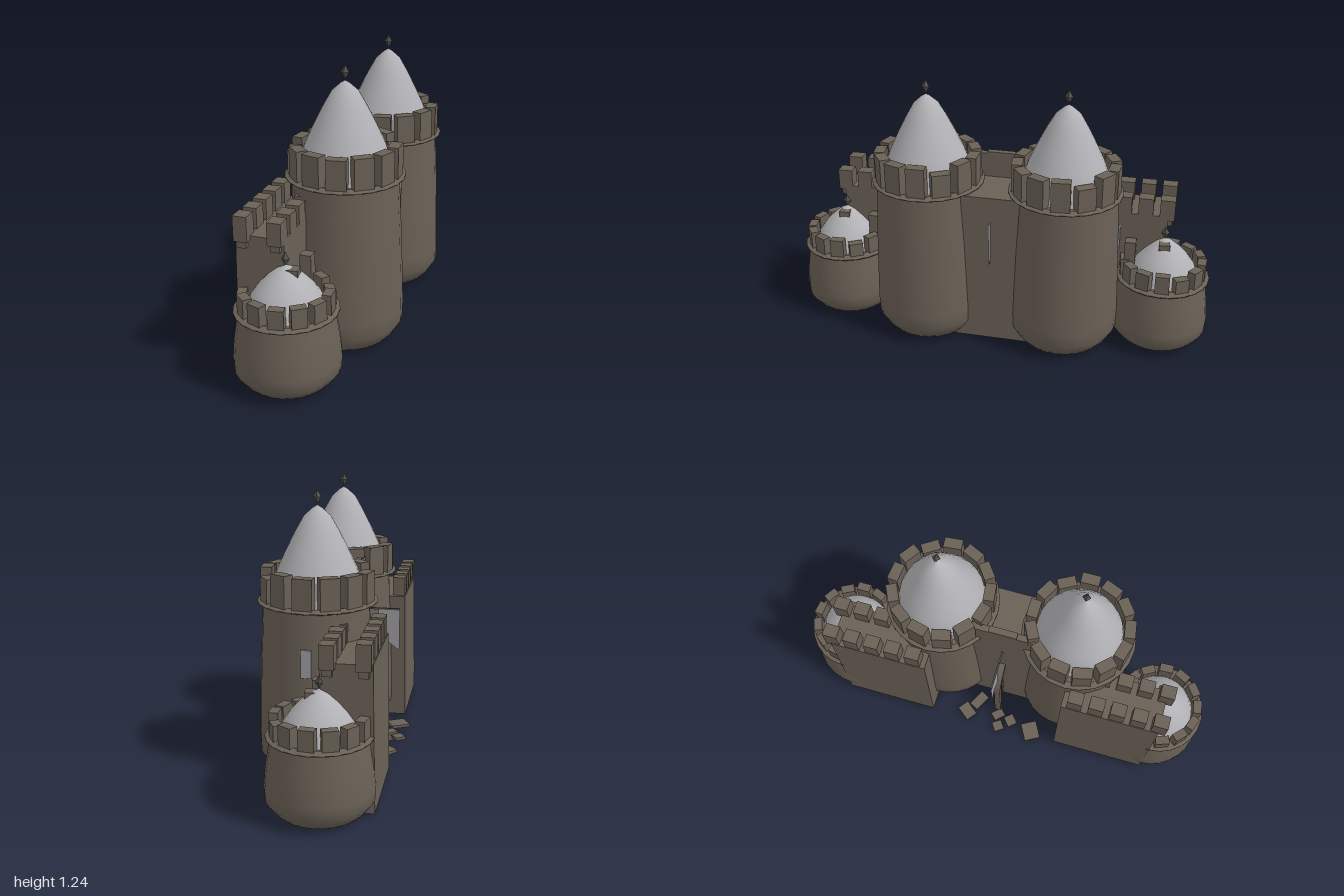
import * as THREE from 'three';

const stone = new THREE.MeshStandardMaterial({ color: 0x6a6156 });
stone.name = 'stone';
const roofGrey = new THREE.MeshStandardMaterial({ color: 0xb2b2b6 });
roofGrey.name = 'roofGrey';
const darkMetal = new THREE.MeshStandardMaterial({ color: 0x55524d });
darkMetal.name = 'darkMetal';
const cloth = new THREE.MeshStandardMaterial({ color: 0x9a9ba0, side: THREE.DoubleSide });
cloth.name = 'cloth';

function add(parent, name, geometry, material, x = 0, y = 0, z = 0) {
  const mesh = new THREE.Mesh(geometry, material);
  mesh.name = name;
  mesh.position.set(x, y, z);
  parent.add(mesh);
  return mesh;
}

const box = (w, h, d) => new THREE.BoxGeometry(w, h, d);

function lathe(points, sides) {
  return new THREE.LatheGeometry(points.map(([r, y]) => new THREE.Vector2(r, y)), sides);
}

// Small repeatable variation for the weathered merlons
function seeded(seed) {
  return () => {
    seed = (seed * 16807) % 2147483647;
    return seed / 2147483647;
  };
}

// Round tower: swollen body, rim, merlon crown, roof and finial
function tower(name, o, seed) {
  const g = new THREE.Group();
  g.name = name;
  const rand = seeded(seed);
  const body = add(g, 'towerBody', lathe(o.body, 28), stone, o.shiftX, 0, o.shiftZ);
  body.name = 'towerBody';
  add(g, 'towerFloor', new THREE.CylinderGeometry(o.rim - 0.02, o.rim - 0.02, 0.012, 24), stone, 0, o.rimY, 0);
  add(g, 'towerRim', lathe([[o.rim - 0.03, o.rimY - 0.012], [o.rim, o.rimY - 0.002],
    [o.rim, o.rimY + 0.004], [o.rim - 0.03, o.rimY + 0.012]], 24), stone);
  for (let i = 0; i < o.count; i++) {
    const a = ((i + 0.35) / o.count) * Math.PI * 2;
    const h = o.merlon[1] * (i % 6 === 4 ? 0.78 : 0.94 + rand() * 0.06);
    const m = add(g, 'merlon', box(o.merlon[0], h, o.merlon[2]), stone,
      Math.sin(a) * o.crown, o.rimY - 0.005 + h / 2, Math.cos(a) * o.crown);
    m.rotation.y = a + (rand() - 0.5) * 0.12;
  }
  add(g, 'towerRoof', lathe(o.roof, 28), roofGrey);
  const finial = add(g, 'finial', new THREE.OctahedronGeometry(1), darkMetal, 0, o.finialY, 0);
  finial.scale.set(0.019, 0.031, 0.019);
  return g;
}

const largeTower = {
  body: [[0, 0.015], [0.2, 0.015], [0.225, 0.045], [0.252, 0.09], [0.254, 0.16], [0.25, 0.3],
    [0.243, 0.5], [0.235, 0.65], [0.23, 0.76]],
  shiftX: 0.005, shiftZ: 0.006, rim: 0.26, rimY: 0.763, count: 13, crown: 0.217,
  merlon: [0.085, 0.152, 0.05],
  roof: [[0.205, 0.77], [0.19, 0.85], [0.17, 0.905], [0.135, 0.98], [0.095, 1.06],
    [0.057, 1.127], [0.02, 1.16], [0, 1.172]],
  finialY: 1.206,
};

const smallTower = {
  body: [[0, 0.015], [0.175, 0.015], [0.195, 0.035], [0.222, 0.07], [0.225, 0.12], [0.218, 0.2],
    [0.207, 0.27], [0.198, 0.33]],
  shiftX: 0, shiftZ: 0, rim: 0.217, rimY: 0.332, count: 13, crown: 0.178,
  merlon: [0.065, 0.1, 0.04],
  roof: [[0.165, 0.338], [0.145, 0.39], [0.113, 0.435], [0.075, 0.475], [0.035, 0.508], [0, 0.525]],
  finialY: 0.55,
};

// Curtain wall with two rows of merlons on small corbels
function curtainWall(side) {
  const g = new THREE.Group();
  g.name = side > 0 ? 'frontCurtainWall' : 'backCurtainWall';
  const wall = box(0.22, 0.62, 0.455);
  const p = wall.attributes.position;
  for (let i = 0; i < p.count; i++) {
    if (p.getY(i) > 0 && p.getX(i) < 0) p.setX(i, p.getX(i) + 0.012);
  }
  wall.computeVertexNormals();
  add(g, 'wall', wall, stone, -0.165, 0.32, side * 0.5525);
  for (let i = 0; i < 5; i++) {
    const z = side * (0.775 - i * 0.098);
    for (const x of [-0.23, -0.085]) {
      const h = x < -0.2 ? 0.11 : 0.1;
      add(g, 'wallMerlon', box(0.06, h, 0.068), stone, x, 0.61 + h / 2, z);
      add(g, 'corbel', box(0.04, 0.035, 0.05), stone, x, 0.598, z);
    }
  }
  // Loose masonry by the small tower
  add(g, 'looseBlock', box(0.05, 0.035, 0.05), stone, -0.02, 0.495, side * 0.775).rotation.y = 0.1;
  add(g, 'stonePost', box(0.05, 0.17, 0.05), stone, -0.02, 0.425, side * 0.622);
  return g;
}

// Hanging banner with a forked lower edge
function banner(width, height) {
  const s = new THREE.Shape();
  s.moveTo(-width / 2, height / 2);
  s.lineTo(-width / 2, -height / 2);
  s.lineTo(0, -height / 2 + 0.04);
  s.lineTo(width / 2, -height / 2);
  s.lineTo(width / 2, height / 2);
  return new THREE.ShapeGeometry(s);
}

export function createModel() {
  const castle = new THREE.Group();
  castle.name = 'castle';

  for (const side of [1, -1]) {
    const prefix = side > 0 ? 'front' : 'back';
    const large = tower(prefix + 'LargeTower', { ...largeTower, shiftZ: side * 0.008 }, 17 + side);
    large.position.set(0.045, 0, side * 0.32);
    const small = tower(prefix + 'SmallTower', smallTower, 41 + side);
    small.position.set(-0.053, 0, side * 0.775);
    castle.add(large, small, curtainWall(side));
  }

  // Gatehouse between the large towers
  const gate = new THREE.Group();
  gate.name = 'gatehouse';
  castle.add(gate);
  add(gate, 'gateBlock', box(0.265, 0.74, 0.44), stone, 0.0425, 0.38, 0);
  add(gate, 'gateParapet', box(0.03, 0.12, 0.3), stone, -0.075, 0.805, 0);
  add(gate, 'gateMerlon', box(0.03, 0.012, 0.13), stone, -0.075, 0.867, 0);

  // Half arch standing out from the gate, with a lattice
  const arch = new THREE.Shape();
  arch.moveTo(-0.08, 0.01);
  arch.lineTo(-0.19, 0.01);
  arch.lineTo(-0.19, 0.34);
  arch.quadraticCurveTo(-0.18, 0.44, -0.08, 0.485);
  const opening = new THREE.Path();
  opening.moveTo(-0.085, 0.03);
  opening.lineTo(-0.165, 0.03);
  opening.lineTo(-0.165, 0.33);
  opening.quadraticCurveTo(-0.15, 0.41, -0.085, 0.445);
  arch.holes.push(opening);
  add(gate, 'gateArch', new THREE.ExtrudeGeometry(arch, { depth: 0.03, bevelEnabled: false }), stone, 0, 0, -0.015);
  for (const x of [-0.145, -0.118]) add(gate, 'latticeBar', box(0.007, 0.39, 0.008), darkMetal, x, 0.215, 0);
  for (let i = 0; i < 6; i++) add(gate, 'latticeBar', box(0.085, 0.007, 0.008), darkMetal, -0.125, 0.07 + i * 0.055, 0);

  // Banners and a narrow tower window
  add(gate, 'bannerPole', box(0.19, 0.008, 0.008), darkMetal, -0.18, 0.65, 0);
  add(gate, 'backBanner', banner(0.1, 0.2), cloth, -0.225, 0.55, 0);
  add(gate, 'frontBanner', banner(0.035, 0.23), cloth, 0.19, 0.515, 0);
  add(gate, 'towerWindow', box(0.045, 0.12, 0.008), cloth, 0.045, 0.55, -0.572);

  // Fallen stones in front of the gate: x, z, width, depth, turn
  const rubble = [
    [-0.24, -0.15, 0.08, 0.06, 0.9], [-0.17, -0.105, 0.09, 0.05, -0.5], [-0.275, 0.025, 0.05, 0.05, 0.6],
    [-0.215, 0.01, 0.06, 0.045, -0.8], [-0.23, 0.08, 0.055, 0.05, 0.7], [-0.255, 0.195, 0.09, 0.08, 0.5],
  ];
  for (const [x, z, w, d, turn] of rubble) {
    add(castle, 'fallenStone', box(w, 0.014, d), stone, x, 0.007, z).rotation.y = turn;
  }
  return castle;
}
